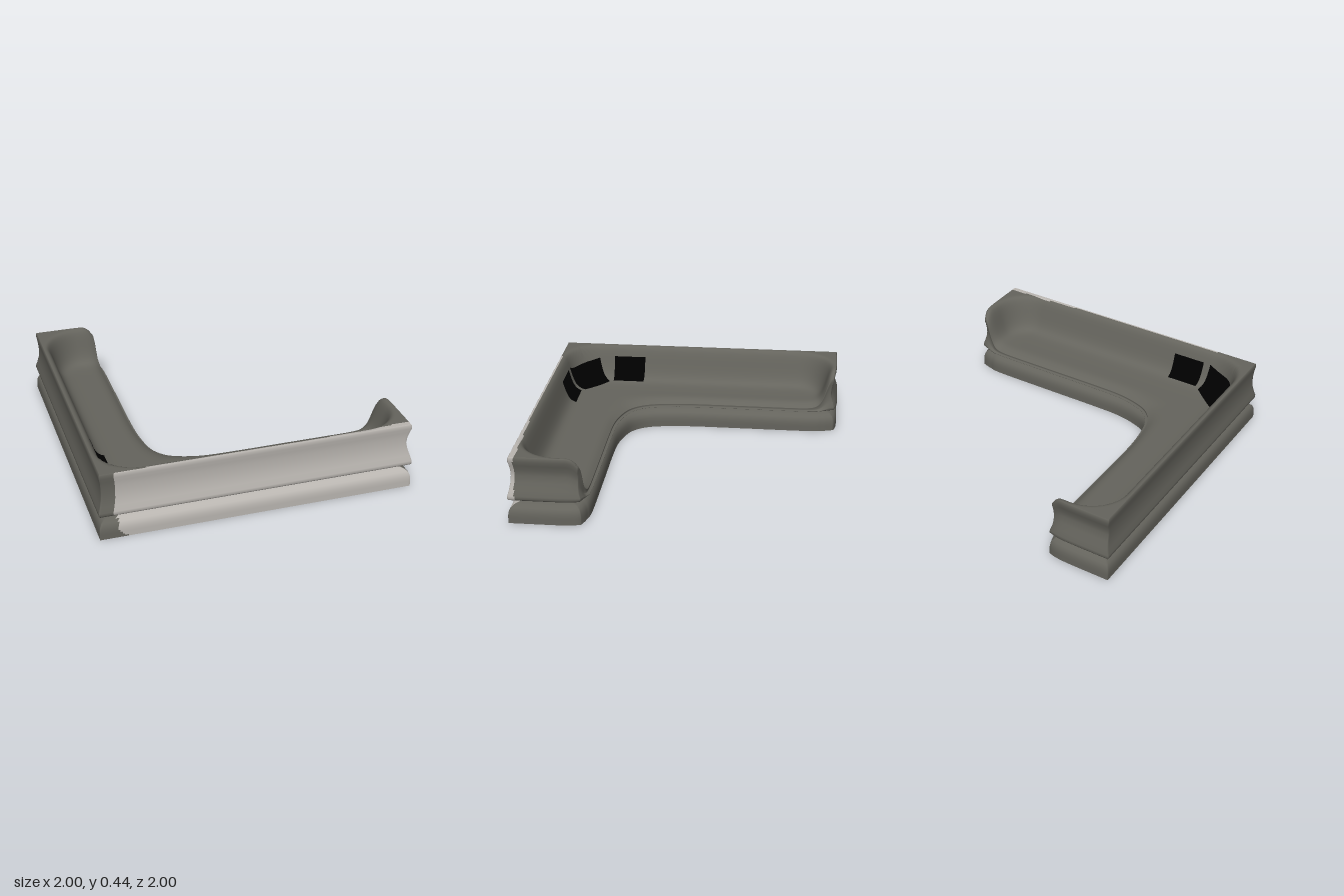
import * as THREE from 'three';

const N = 320, U = 30; // samples along the L and across it
const SEAT = 0.195, TOP = 0.44, THROAT = 0.138;

const mat = (name, color) => {
  const m = new THREE.MeshStandardMaterial({ color, side: THREE.DoubleSide });
  m.name = name;
  return m;
};

// Inner edge of the L (x, z), running from the rear end to the side end
const innerPts = new THREE.SplineCurve([
  [-0.58, -1], [-0.568, -0.95], [-0.558, -0.9], [-0.545, -0.8], [-0.545, -0.4], [-0.545, 0], [-0.53, 0.2],
  [-0.5, 0.33], [-0.44, 0.42], [-0.35, 0.47], [-0.2, 0.505], [0, 0.513], [0.4, 0.513],
  [0.8, 0.515], [0.9, 0.53], [0.95, 0.54], [1, 0.555],
].map(([x, z]) => new THREE.Vector2(x, z))).getSpacedPoints(N);

// Plan position at sample s along the L, u across it (0 outer, 1 inner).
// The sides shrink by inset, the two ends by endInset; the ends' inner corners are rounded.
function plan(s, u, inset, endInset = inset) {
  const t = (2 * s) / N, e = 1 - inset, f = 1 - endInset;
  const ox = t < 1 ? -e : -e + (t - 1) * (e + f);
  const oz = t < 1 ? -f + t * (e + f) : e;
  const a = innerPts[Math.max(s - 1, 0)], b = innerPts[Math.min(s + 1, N)];
  const len = a.distanceTo(b);
  const ix = Math.min(innerPts[s].x - (inset * (b.y - a.y)) / len, f);
  const iz = Math.max(innerPts[s].y + (inset * (b.x - a.x)) / len, -f);
  const x = ox + (ix - ox) * u, z = oz + (iz - oz) * u;
  const round = (d) => 0.022 * u ** 8 * Math.max(0, 1 - d / 0.1);
  return [x - round(1 - x), z + round(z + 1)];
}

// Height of the hollowed top: seat sweeping up to the back and both ends
function height(x, z, u = 0.5) {
  const R = 0.3;
  const sum = [x + 1, 1 - z, z + 1, 1 - x].reduce((q, d) => q + Math.max(R - d, 0) ** 2, 0);
  const d = Math.max(R - Math.sqrt(sum), 0);
  const rise = 1 / (1 + (d / 0.09) ** 5);
  const drop = (0.03 + 0.02 * rise) * Math.max(0, 1 - ((1 - u) * 0.46) / 0.1) ** 3;
  return SEAT + (TOP - SEAT) * rise - drop;
}

const across = (j) => (j / U) ** 1.4;

// Closed outline of the L as [s, u] pairs
const outline = [];
for (let s = 0; s < N; s++) outline.push([s, 0]);
for (let j = 0; j < U; j++) outline.push([N, across(j)]);
for (let s = N; s > 0; s--) outline.push([s, 1]);
for (let j = U; j > 0; j--) outline.push([0, across(j)]);

// Geometry from quads (a, b, c, d as a strip), split into a dark and a light group
function quadGeometry(pos, quads, isLight) {
  const dark = [], light = [];
  for (const { q, i } of quads) {
    const mid = [0, 1, 2].map((c) => q.reduce((t, v) => t + pos[v * 3 + c], 0) / 4);
    (isLight(...mid, i) ? light : dark).push(q[0], q[1], q[2], q[2], q[1], q[3]);
  }
  const g = new THREE.BufferGeometry();
  g.setAttribute('position', new THREE.Float32BufferAttribute(pos, 3));
  g.setIndex([...dark, ...light]);
  g.addGroup(0, dark.length, 0);
  g.addGroup(dark.length, light.length, 1);
  g.computeVertexNormals();
  return g;
}

// Regular grid of points
function grid(nx, ny, point, isLight = () => false) {
  const pos = [], quads = [];
  for (let i = 0; i <= nx; i++) for (let j = 0; j <= ny; j++) pos.push(...point(i, j));
  for (let i = 0; i < nx; i++) for (let j = 0; j < ny; j++) {
    const a = i * (ny + 1) + j, b = a + ny + 1;
    quads.push({ q: [a, b, a + 1, b + 1], i });
  }
  return quadGeometry(pos, quads, isLight);
}

// Wall around the outline; ringAt gives [y, inset, endInset] for each row
function wall(rows, ringAt, isLight) {
  const M = outline.length, pos = [], quads = [];
  for (const row of rows) for (const [s, u] of outline) {
    const [y, inset, endInset] = ringAt(row, s, u);
    const [x, z] = plan(s, u, inset, endInset);
    pos.push(x, y, z);
  }
  for (let r = 0; r + 1 < rows.length; r++) for (let i = 0; i < M; i++) {
    const k = (i + 1) % M;
    quads.push({ q: [r * M + i, (r + 1) * M + i, r * M + k, (r + 1) * M + k], i });
  }
  return quadGeometry(pos, quads, isLight);
}

export function createModel() {
  const group = new THREE.Group();
  const dark = mat('dark grey fabric', 0x65645d);
  const light = mat('light grey fabric', 0xbab6b1);
  const black = mat('black patch', 0x000000);
  const add = (name, geo, materials) => {
    const m = new THREE.Mesh(geo, materials);
    m.name = name;
    group.add(m);
  };
  const onFront = (i) => i >= N / 2 && i < N;
  const onSideEnd = (i) => i >= N && i < N + U;

  // Seat, back and ends as one hollowed sheet, with a light front rim
  add('seatAndBack', grid(N, U, (s, j) => {
    const u = across(j), [x, z] = plan(s, u, 0.018);
    return [x, height(x, z, u), z];
  }, (x, y, z) => x > -0.7 && z > 0.968 - Math.max(0, x - 0.45) * 0.04), [dark, light]);

  // Outer wall of the upper body: concave, most at the ends, then tucked into the groove
  const bodyRows = [[1, 0.018], [0.975, 0.013], [0.9, 0.013], [0.8, 0.022], [0.68, 0.034], [0.55, 0.038],
    [0.4, 0.028], [0.25, 0.012], [0.12, 0.001], [0.06, 0], [0.02, 0.008], [0, 0.03], [-1, 0.09]];
  add('bodyWall', wall(bodyRows, ([f, inset], s, u) => {
    if (f < 0) return [THROAT, inset, inset];
    const [x, z] = plan(s, u, 0.018), h = height(x, z, u);
    const y = 0.148 + (h - 0.148) * f;
    if (f < 0.2) return [y, inset, inset];
    const end = 0.018 + ((inset - 0.018) * (h - 0.15)) / 0.29;
    return [y, Math.min(end, 0.018 + (end - 0.018) * 0.25), end];
  }, (x, y, z, i) => (onFront(i) && i >= N / 2 + 7) || (onSideEnd(i) && z > 0.955)), [dark, light]);

  // Rounded base, a hollow ring open underneath
  const baseRows = [[THROAT, 0.09], [0.13, 0.1], [0.123, 0.065], [0.114, 0.032], [0.1, 0.014],
    [0.08, 0.005], [0.065, 0.002], [0.05, 0], [0.035, 0], [0.02, 0], [0.01, 0], [0, 0]];
  add('base', wall(baseRows, ([y, inset]) => [y, inset, inset],
    (x, y, z, i) => onFront(i) && x > -0.885 + 0.07 * Math.max(0, 1 - y / 0.06) ** 2), [dark, light]);

  // Black patches through the sheet, each four-cornered; the corner one bulges at the rear
  const patches = {
    leftArmPatch: [[-0.922, 0.405], [-0.922, 0.63], [-0.83, 0.63], [-0.83, 0.41], 0],
    cornerPatch: [[-0.915, 0.74], [-0.68, 0.92], [-0.65, 0.81], [-0.82, 0.655], 0.035],
    frontArmPatch: [[-0.63, 0.92], [-0.405, 0.92], [-0.405, 0.83], [-0.62, 0.83], 0],
  };
  for (const [name, [A, B, C, D, bulge]] of Object.entries(patches)) {
    const n = 14;
    for (const [side, lift] of [['Top', 0.009], ['Underside', -0.009]]) {
      add(name + side, grid(n, n, (i, j) => {
        const p = i / n, q = j / n, out = bulge * 4 * p * (1 - p) * (1 - q);
        const mix = (c) => (A[c] * (1 - p) + B[c] * p) * (1 - q) + (D[c] * (1 - p) + C[c] * p) * q;
        const x = mix(0) - out, z = mix(1) + out;
        return [x, height(x, z) + lift, z];
      }), black);
    }
  }
  return group;
}
